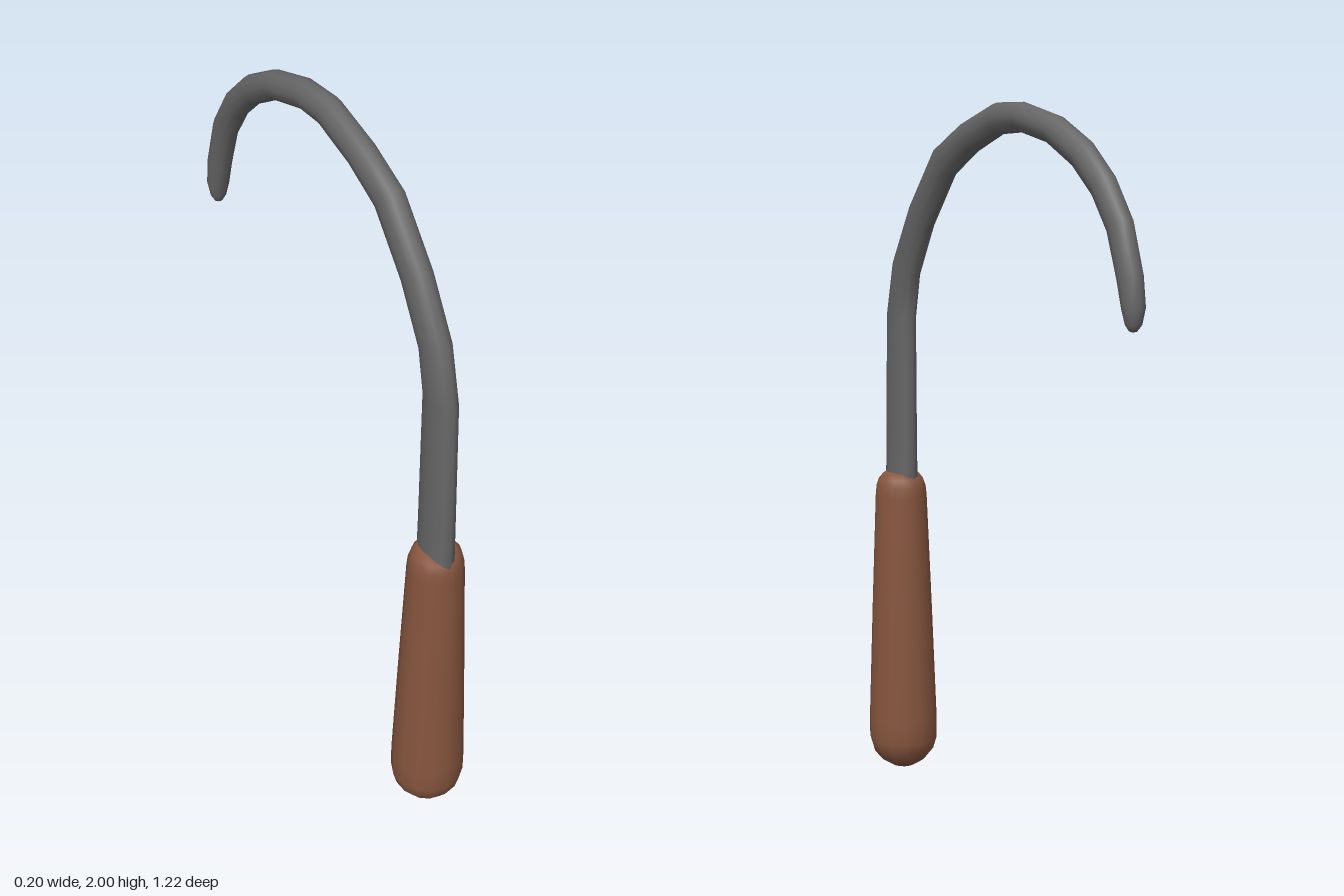
import * as THREE from 'three';

const SIDES = 12;

// Tapered oval tube through stations [z, y, half depth, half width], lying in the yz plane
function sweep(stations) {
  const pos = [], index = [];
  stations.forEach(([z, y, depth, width], i) => {
    const a = stations[Math.max(i - 1, 0)];
    const b = stations[Math.min(i + 1, stations.length - 1)];
    const t = new THREE.Vector2(b[0] - a[0], b[1] - a[1]).normalize();
    for (let k = 0; k < SIDES; k++) {
      const angle = (k / SIDES) * Math.PI * 2;
      const s = Math.sin(angle) * depth;
      pos.push(Math.cos(angle) * width, y - t.x * s, z + t.y * s);
      if (i === stations.length - 1) continue;
      const p = i * SIDES + k, q = i * SIDES + (k + 1) % SIDES;
      index.push(p, p + SIDES, q, q, p + SIDES, q + SIDES);
    }
  });
  const geo = new THREE.BufferGeometry();
  geo.setAttribute('position', new THREE.Float32BufferAttribute(pos, 3));
  geo.setIndex(index);
  geo.computeVertexNormals();
  return geo;
}

export function createModel() {
  const model = new THREE.Group();
  model.name = 'handHook';
  const wood = new THREE.MeshStandardMaterial({ color: 0x87563f });
  wood.name = 'brown wood';
  const steel = new THREE.MeshStandardMaterial({ color: 0x666666 });
  steel.name = 'dark steel';

  // Tapered wooden grip with rounded ends
  const profile = [
    [0, 0], [0.035, 0.006], [0.068, 0.027], [0.092, 0.057], [0.103, 0.095], [0.103, 0.16],
    [0.09, 0.52], [0.077, 0.85], [0.074, 0.88], [0.066, 0.903], [0.05, 0.92], [0, 0.924],
  ].map(([r, y]) => new THREE.Vector2(r, y));
  const handle = new THREE.Mesh(new THREE.LatheGeometry(profile, 14), wood);
  handle.name = 'handle';
  handle.position.z = 0.508;
  model.add(handle);

  // Curved hook, thinning towards its blunt tip
  const hook = new THREE.Mesh(sweep([
    [0.512, 0.86, 0.066, 0.041],
    [0.511, 1.0, 0.065, 0.038],
    [0.505, 1.39, 0.059, 0.037],
    [0.475, 1.53, 0.055, 0.037],
    [0.39, 1.684, 0.052, 0.037],
    [0.268, 1.838, 0.051, 0.037],
    [0.145, 1.905, 0.046, 0.037],
    [0, 1.957, 0.043, 0.037],
    [-0.11, 1.959, 0.04, 0.037],
    [-0.25, 1.926, 0.039, 0.037],
    [-0.367, 1.865, 0.04, 0.036],
    [-0.455, 1.787, 0.04, 0.035],
    [-0.522, 1.69, 0.04, 0.034],
    [-0.564, 1.565, 0.038, 0.033],
    [-0.579, 1.49, 0.031, 0.031],
    [-0.58, 1.45, 0.021, 0.022],
    [-0.578, 1.434, 0.01, 0.011],
    [-0.578, 1.431, 0.001, 0.001],
  ]), steel);
  hook.name = 'hook';
  hook.position.x = -0.005;
  model.add(hook);

  return model;
}
